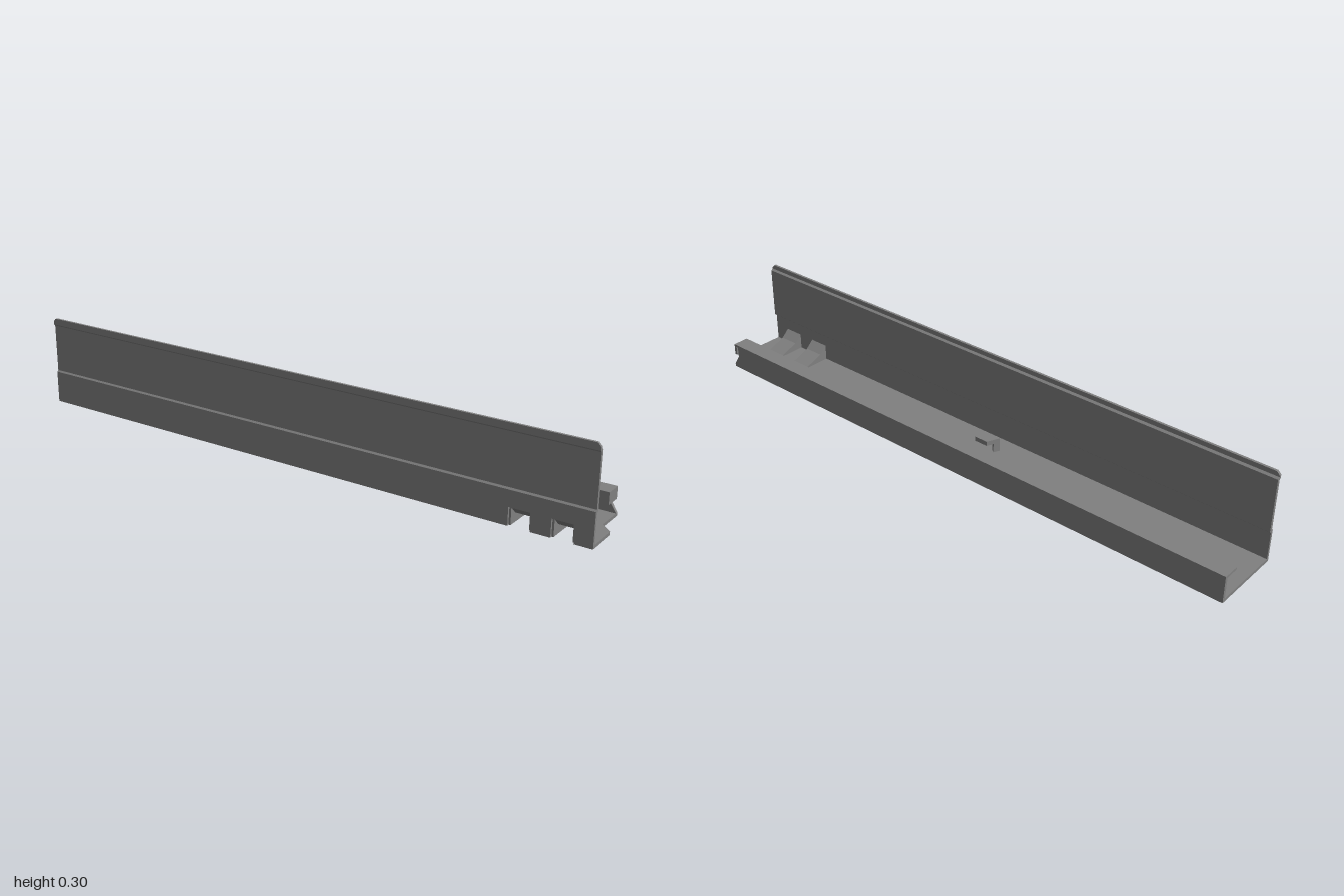
import * as THREE from 'three';

export function createModel() {
  const group = new THREE.Group();
  group.name = 'mountingRail';
  const steel = new THREE.MeshStandardMaterial({ color: 0x808080 });
  steel.name = 'grey steel';

  const add = (name, geometry) => {
    const mesh = new THREE.Mesh(geometry, steel);
    mesh.name = name;
    group.add(mesh);
    return mesh;
  };
  const extrude = (pts, depth) => new THREE.ExtrudeGeometry(
    new THREE.Shape(pts.map(([a, b]) => new THREE.Vector2(a, b))),
    { depth, bevelEnabled: false });

  // Prisms: alongX takes (z, y) points, alongY takes (x, z), alongZ takes (x, y)
  const alongX = (name, pts, x0, x1) => add(name,
    extrude(pts.map(([z, y]) => [-z, y]), x1 - x0).rotateY(Math.PI / 2).translate(x0, 0, 0));
  const alongY = (name, pts, y0, y1) => add(name,
    extrude(pts.map(([x, z]) => [x, -z]), y1 - y0).rotateX(-Math.PI / 2).translate(0, y0, 0));
  const alongZ = (name, pts, z0, z1) => add(name, extrude(pts, z1 - z0).translate(0, 0, z0));
  const box = (name, x0, x1, y0, y1, z0, z1) => add(name,
    new THREE.BoxGeometry(x1 - x0, y1 - y0, z1 - z0)
      .translate((x0 + x1) / 2, (y0 + y1) / 2, (z0 + z1) / 2));

  const slots = [[0.75, 0.818], [0.878, 0.945]]; // z ranges of the pressed gussets

  // Floor with two slots and a stepped front edge
  const floor = [[-0.12, -1]];
  for (const [a, b] of slots) floor.push([-0.12, a], [-0.014, a], [-0.014, b], [-0.12, b]);
  floor.push([-0.12, 1], [-0.01, 1], [0.022, 0.965], [0.12, 0.965], [0.12, -1]);
  alongY('floor', floor, 0, 0.01);

  // Lower tall wall, slotted where the gussets are pressed in
  const wall = [[-1, 0.01]];
  for (const [a, b] of slots) wall.push([a, 0.01], [a, 0.06], [b, 0.06], [b, 0.01]);
  wall.push([1, 0.01], [1, 0.09], [-1, 0.09]);
  alongX('lowerWall', wall, -0.12, -0.112);

  // Upper wall with its inward jog
  alongZ('upperWall', [
    [-0.12, 0.09], [-0.112, 0.09], [-0.112, 0.1], [-0.105, 0.106], [-0.105, 0.278],
    [-0.112, 0.283], [-0.12, 0.283], [-0.12, 0.277], [-0.115, 0.272], [-0.115, 0.112], [-0.12, 0.107],
  ], -1, 1);

  // Top edge strip with clipped ends
  alongX('topEdge', [[-1, 0.283], [1, 0.283], [1, 0.288], [0.99, 0.298], [-0.99, 0.298], [-1, 0.288]],
    -0.12, -0.112);

  // Hollow gussets: bent skin with thin closed sides
  for (const [a, b] of slots) {
    alongZ('gussetSkin', [
      [-0.12, 0.064], [-0.112, 0.062], [-0.085, 0.037], [-0.01, 0.01],
      [-0.014, 0.003], [-0.088, 0.03], [-0.116, 0.056], [-0.12, 0.056],
    ], a, b);
    for (const z of [a, b - 0.006]) {
      alongZ('gussetSide', [
        [-0.113, 0.001], [-0.014, 0.001], [-0.014, 0.0105], [-0.086, 0.036], [-0.113, 0.061],
      ], z, z + 0.006);
    }
  }

  // Low wall, returned lip and the flap folded down at the front
  alongX('lowWall', [[-1, 0.01], [0.965, 0.01], [0.943, 0.045], [0.943, 0.08], [-1, 0.08]], 0.11, 0.12);
  box('lip', 0.065, 0.12, 0.08, 0.088, -1, 0.96);
  box('lipFlap', 0.065, 0.12, 0.05, 0.08, 0.95, 0.96);

  // Small angled hook inside the channel
  alongY('hookArm', [
    [-0.03, -0.113], [0.012, -0.095], [0.012, -0.05], [-0.003, -0.05], [-0.003, -0.088], [-0.03, -0.1],
  ], 0.06, 0.075);
  alongY('hookLeg', [[-0.03, -0.113], [-0.01, -0.1045], [-0.017, -0.094], [-0.03, -0.1]], 0.03, 0.06);

  return group;
}
